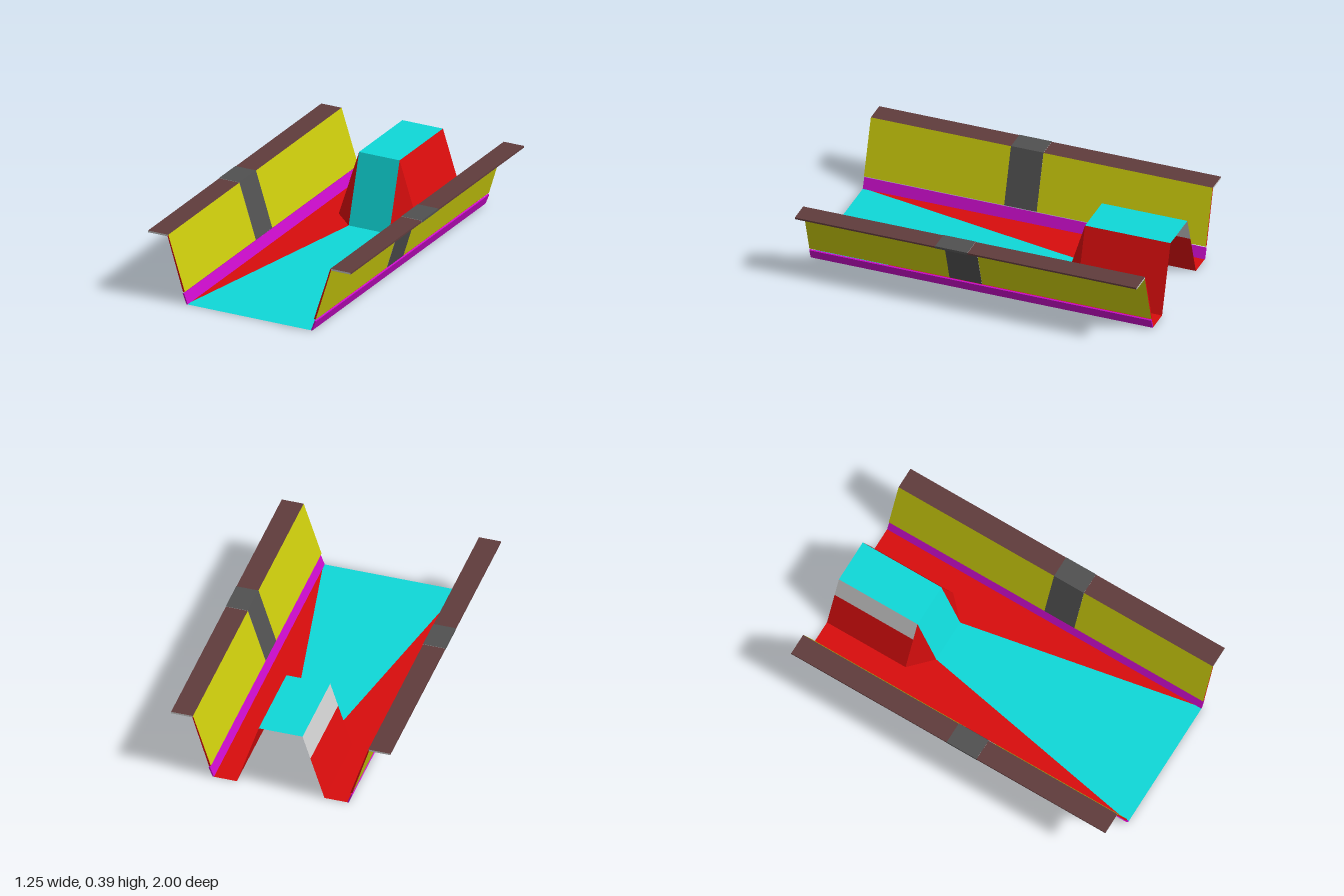
import * as THREE from 'three';

const mat = (color) => new THREE.MeshStandardMaterial({ color, side: THREE.DoubleSide, flatShading: true });
const CYAN = mat(0x0fd8d8), RED = mat(0xd80d0d), GREY = mat(0xcccccc), PURPLE = mat(0xc80cc8);
const OLIVE = mat(0xc8c80c), BROWN = mat(0x603c3c), DARK = mat(0x505050);

// Flat convex panel from a fan of corners; side -1 mirrors it across x.
function panel(name, corners, material, side = 1) {
  const pts = corners.map(([x, y, z]) => [x * side, y, z]);
  const pos = [];
  for (let i = 1; i < pts.length - 1; i++) {
    const tri = side > 0 ? [pts[0], pts[i], pts[i + 1]] : [pts[0], pts[i + 1], pts[i]];
    pos.push(...tri.flat());
  }
  const geo = new THREE.BufferGeometry();
  geo.setAttribute('position', new THREE.Float32BufferAttribute(pos, 3));
  geo.computeVertexNormals();
  const mesh = new THREE.Mesh(geo, material);
  mesh.name = name;
  return mesh;
}

// Thin section (x, y profile) run along z from z0 to z1.
function rail(name, profile, z0, z1, endMaterial, material, side) {
  const shape = new THREE.Shape(profile.map(([x, y]) => new THREE.Vector2(x * side, y)));
  const geo = new THREE.ExtrudeGeometry(shape, { depth: z1 - z0, bevelEnabled: false });
  geo.translate(0, 0, z0);
  const mesh = new THREE.Mesh(geo, [endMaterial, material]);
  mesh.name = name;
  return mesh;
}

export function createModel() {
  const model = new THREE.Group();
  model.name = 'channel';
  const H = 0.39, TOP = 0.125, BASE = 0.25, EDGE = 0.388, RISE = -0.5, FOOT = -0.38;

  // Tapering path, ramp and raised deck
  model.add(
    panel('path', [[-EDGE, 0, 1], [EDGE, 0, 1], [TOP, 0, FOOT], [-TOP, 0, FOOT]], CYAN),
    panel('ramp', [[-TOP, 0, FOOT], [TOP, 0, FOOT], [TOP, H, RISE], [-TOP, H, RISE]], CYAN),
    panel('deck', [[-TOP, H, RISE], [TOP, H, RISE], [TOP, H, -1], [-TOP, H, -1]], CYAN)
  );

  const wall = [[0.398, 0.07], [0.409, 0.068], [0.504, 0.378], [0.5, 0.388]];
  const flange = [[0.504, 0.378], [0.625, 0.378], [0.625, 0.388], [0.5, 0.388]];
  const brace = [[0.398, 0.07], [0.41, 0.068], [0.506, 0.377], [0.626, 0.377], [0.626, 0.39], [0.499, 0.39]];
  const kerb = [[0.38, 0], [0.388, 0], [0.411, 0.058], [0.403, 0.062]];
  const B0 = -0.01, B1 = 0.18;

  for (const side of [1, -1]) {
    const half = new THREE.Group();
    half.name = side > 0 ? 'leftHalf' : 'rightHalf';

    // Floor beside the path, and the flank of the ramp
    half.add(
      panel('floor', [[BASE, 0, RISE], [TOP, 0, FOOT], [EDGE, 0, 1], [EDGE, 0, -1], [BASE, 0, -1]], RED, side),
      panel('rampFlank', [[TOP, 0, FOOT], [BASE, 0, RISE], [TOP, H, RISE]], RED, side)
    );

    // Sloping deck side; one side carries a grey upper band
    const mx = 0.17, my = H * (BASE - mx) / (BASE - TOP);
    half.add(
      panel('deckSideLower', [[BASE, 0, RISE], [BASE, 0, -1], [mx, my, -1], [mx, my, RISE]], RED, side),
      panel('deckSideUpper', [[mx, my, RISE], [mx, my, -1], [TOP, H, -1], [TOP, H, RISE]], side < 0 ? GREY : RED, side)
    );

    // Kerb, wall and flange, with the wall interrupted by a brace
    half.add(rail('kerb', kerb, -1, 1, PURPLE, PURPLE, side));
    for (const [z0, z1] of [[-1, B0], [B1, 1]]) {
      half.add(
        rail('wall', wall, z0, z1, RED, OLIVE, side),
        rail('flange', flange, z0, z1, GREY, BROWN, side)
      );
    }
    half.add(rail('brace', brace, B0, B1, GREY, DARK, side));
    model.add(half);
  }
  return model;
}
